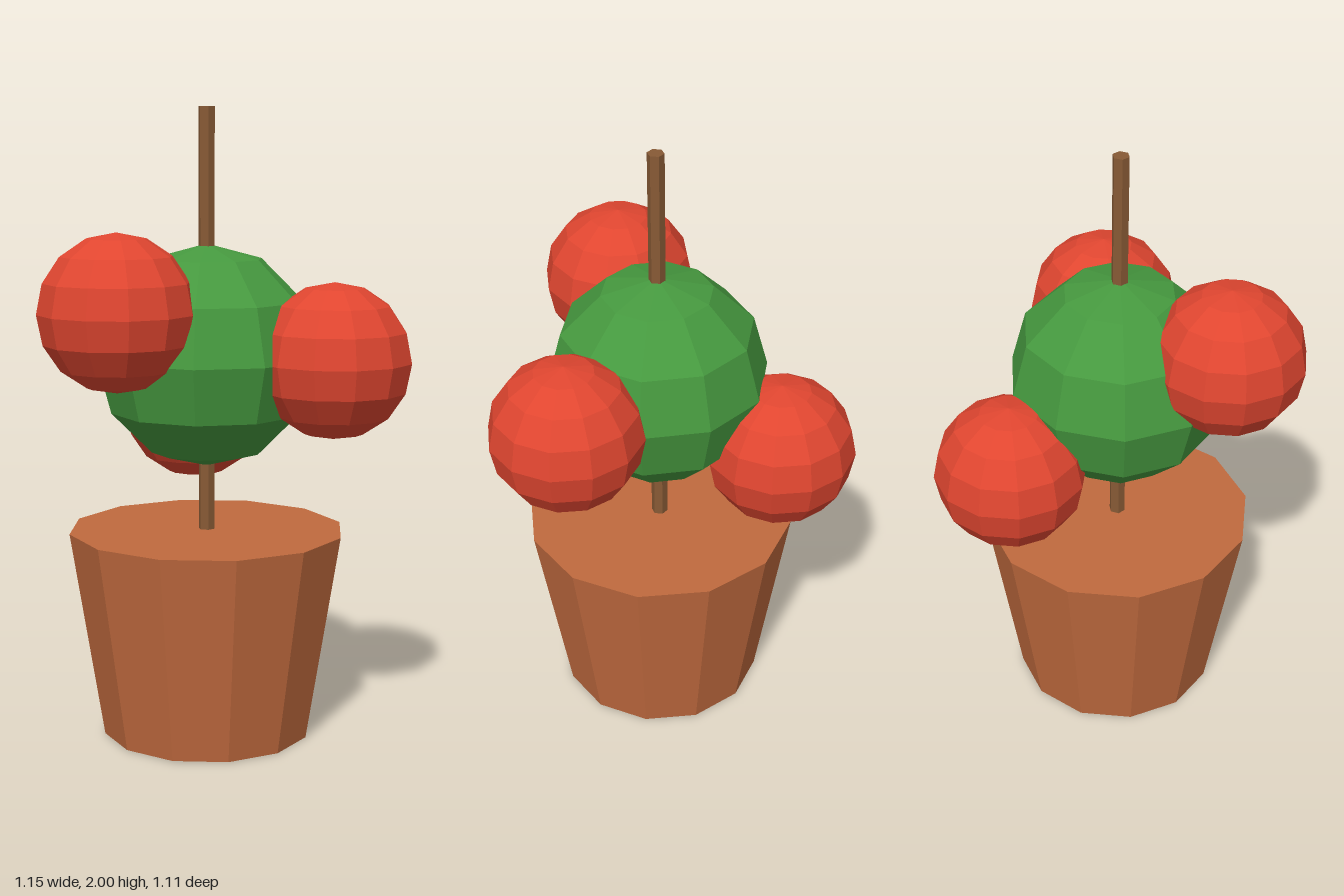
import * as THREE from 'three';

const flat = (name, color) => {
  const m = new THREE.MeshStandardMaterial({ color, flatShading: true });
  m.name = name;
  return m;
};

export function createModel() {
  const group = new THREE.Group();
  group.name = 'pottedTree';

  const terracotta = flat('terracotta', 0xc06a3e);
  const bark = flat('bark', 0x875a35);
  const leaf = flat('leaf green', 0x46993f);
  const fruitRed = flat('fruit red', 0xe04630);

  const add = (name, geometry, material, x, y, z) => {
    const mesh = new THREE.Mesh(geometry, material);
    mesh.name = name;
    mesh.position.set(x, y, z);
    group.add(mesh);
  };

  // The pot, trunk and foliage share one vertical axis
  const ax = -0.022, az = 0.088;
  const potHeight = 0.665;
  add('pot', new THREE.CylinderGeometry(0.443, 0.335, potHeight, 12), terracotta, ax, potHeight / 2, az);

  // Trunk runs from inside the pot up through the foliage
  const trunkBase = 0.6;
  add('trunk', new THREE.CylinderGeometry(0.0265, 0.0265, 2 - trunkBase, 6), bark, ax, (2 + trunkBase) / 2, az);

  add('foliage', new THREE.SphereGeometry(0.353, 10, 6), leaf, ax, 1.224, az);

  // Three fruits around the foliage
  const fruit = new THREE.SphereGeometry(0.243, 12, 8);
  [
    ['fruitRight', -0.335, 1.381, 0.265],
    ['fruitLeft', 0.333, 1.225, 0.311],
    ['fruitBack', 0.022, 1.004, -0.312],
  ].forEach(([name, x, y, z]) => add(name, fruit, fruitRed, x, y, z));

  return group;
}
